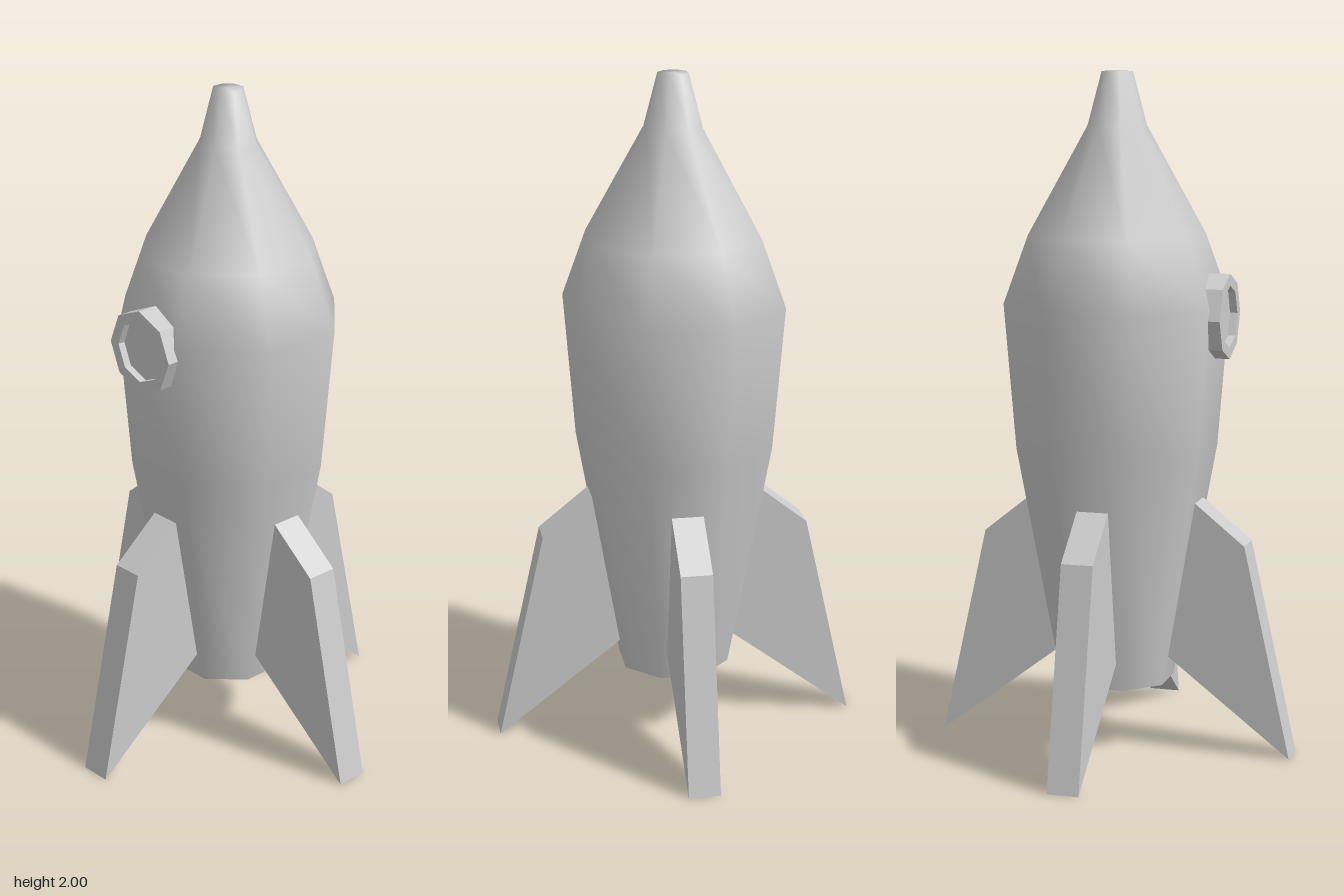
import * as THREE from 'three';

const SIDES = 8;
const material = new THREE.MeshStandardMaterial({ color: 0xcccccc });

function addMesh(parent, name, geometry) {
  const mesh = new THREE.Mesh(geometry, material);
  mesh.name = name;
  parent.add(mesh);
  return mesh;
}

// Smooth octagonal hull; profile gives the distance to the flats, and height
function buildHull(parent) {
  const toCorner = 1 / Math.cos(Math.PI / SIDES);
  const profile = [[0.157, 0.2], [0.276, 0.9], [0.308, 1.33], [0.241, 1.53], [0.08, 1.845], [0.042, 2], [0, 2]]
    .map(([r, y]) => new THREE.Vector2(r * toCorner, y));
  addMesh(parent, 'hull', new THREE.LatheGeometry(profile, SIDES, Math.PI / SIDES));

  // Flat underside
  const base = new THREE.CircleGeometry(0.157 * toCorner, SIDES, Math.PI / SIDES);
  base.rotateX(Math.PI / 2);
  addMesh(parent, 'hullBase', base).position.y = 0.2;
}

// Four swept slabs, one on each axis
function buildFins(parent) {
  const outline = new THREE.Shape(
    [[0.16, 0.292], [0.54, 0], [0.4, 0.632], [0.245, 0.757]].map(([x, y]) => new THREE.Vector2(x, y)));
  const thickness = 0.094;
  const geometry = new THREE.ExtrudeGeometry(outline, { depth: thickness, bevelEnabled: false });
  geometry.translate(0, 0, -thickness / 2);
  ['leftFin', 'backFin', 'rightFin', 'frontFin'].forEach((name, i) => {
    addMesh(parent, name, geometry).rotation.y = i * Math.PI / 2;
  });
}

// Octagonal window: raised rim around a slightly recessed pane
function buildWindow(parent) {
  const window = new THREE.Group();
  window.name = 'window';
  window.position.set(0, 1.3, 0);
  const octagon = (r) => Array.from({ length: SIDES }, (_, i) => {
    const a = i * 2 * Math.PI / SIDES;
    return new THREE.Vector2(r * Math.cos(a), r * Math.sin(a));
  });
  const rim = new THREE.Shape(octagon(0.124));
  rim.holes.push(new THREE.Path(octagon(0.09)));
  const rimGeometry = new THREE.ExtrudeGeometry(rim, { depth: 0.1, bevelEnabled: false });
  addMesh(window, 'windowRim', rimGeometry).position.z = 0.24;
  addMesh(window, 'windowPane', new THREE.CircleGeometry(0.09, SIDES)).position.z = 0.318;
  parent.add(window);
}

export function createModel() {
  const rocket = new THREE.Group();
  rocket.name = 'rocket';
  buildHull(rocket);
  buildFins(rocket);
  buildWindow(rocket);
  return rocket;
}
